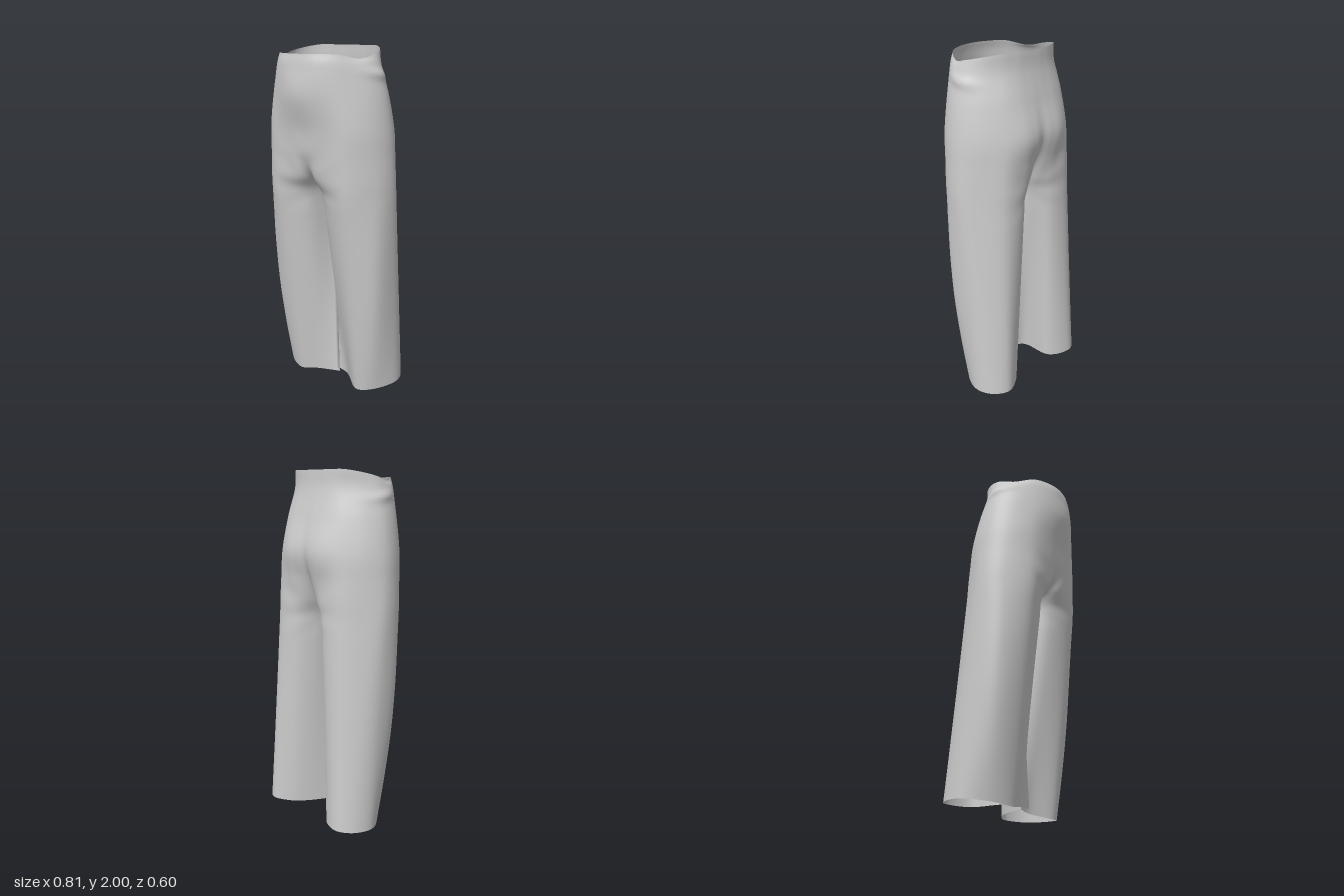
import * as THREE from 'three';
import { mergeGeometries, mergeVertices } from 'three/addons/utils/BufferGeometryUtils.js';

const AROUND = 72, DOWN = 110;

// Half sections, x outward and z forward, from the front seam round the hip to the back seam
const HEIGHTS = [2, 1.9, 1.75, 1.57, 1.42, 1.3, 1.2];
const SECTIONS = [
  [0, .28, .1, .262, .2, .2, .265, .1, .292, 0, .262, -.085, .195, -.153, .12, -.183, .06, -.193, 0, -.195],
  [0, .29, .11, .273, .21, .21, .29, .105, .315, 0, .275, -.085, .2, -.155, .13, -.188, .06, -.2, 0, -.203],
  [0, .3, .11, .28, .225, .217, .325, .11, .357, 0, .315, -.1, .225, -.187, .14, -.225, .06, -.235, 0, -.235],
  [0, .258, .11, .253, .25, .212, .352, .108, .386, -.01, .342, -.12, .238, -.222, .14, -.272, .06, -.278, 0, -.268],
  [0, .235, .1, .238, .25, .21, .363, .1, .397, -.02, .35, -.125, .245, -.228, .13, -.256, .05, -.248, 0, -.22],
  [0, .16, .07, .218, .245, .21, .369, .097, .404, -.025, .357, -.125, .25, -.232, .12, -.247, .04, -.21, 0, -.14],
  [0, -.03, .06, .155, .235, .207, .37, .095, .406, -.03, .36, -.13, .25, -.236, .12, -.24, .04, -.16, 0, -.03],
];
const HEM_LEFT = [.03, -.037, .11, -.028, .23, .055, .33, .01, .397, -.12, .37, -.23, .28, -.293, .17, -.245, .1, -.165, .03, -.037];
const HEM_RIGHT = [-.065, -.003, .08, .03, .2, .058, .32, 0, .398, -.12, .365, -.24, .27, -.298, .14, -.23, .11, -.04, -.065, -.003];
// Uneven edges of the waist and the hem
const WAIST_Y = [1.965, 1.965, 1.963, 1.943, 1.965, 1.985, 2, 2, 2, 2];
const HEM_Y = [.035, .02, 0, .012, .025, .03, .035, .035, .035, .035];

const toPoints = (flat, yAt) =>
  Array.from({ length: flat.length / 2 }, (_, i) => new THREE.Vector3(flat[2 * i], yAt(i), flat[2 * i + 1]));

// Smooth ring through a section; whole rows run straight over the seam, lower rows pinch there
function sampleRing(points, pinched) {
  const ghost = (end, next) => pinched
    ? end.clone().multiplyScalar(2).sub(next)
    : new THREE.Vector3(-next.x, next.y, next.z);
  const n = points.length;
  const curve = new THREE.CatmullRomCurve3(
    [ghost(points[0], points[1]), ...points, ghost(points[n - 1], points[n - 2])], false, 'catmullrom');
  return Array.from({ length: AROUND + 1 }, (_, i) => curve.getPoint((1 + (i / AROUND) * (n - 1)) / (n + 1)));
}

// Leg section between crotch and hem, fuller at its outer front corner
function legSection(crotch, hem, t) {
  const points = crotch.map((p, i) => p.clone().lerp(hem[i], t));
  const fullness = .02 * Math.sin(Math.PI * t);
  points[3].x += fullness;
  points[3].z += fullness;
  return points;
}

const bell = (d, width) => Math.exp(-((d / width) ** 2));

// Gathered cloth at the hips and faint creases fanning from the crotch
function addFolds(p, side) {
  if (p.x > .2) p.x += .014 * bell(p.y - 1.865 - .15 * (p.z - .03), .025) * bell(p.z - .02, .09);
  const angle = Math.atan2(p.y - 1.25, p.x + .05);
  const reach = Math.hypot(p.x, p.y - 1.3);
  const fade = bell(reach - .17, .09) * Math.min(1, Math.max(0, p.x / .06));
  if (p.z > .05) p.z += .001 * Math.sin(angle * 11 + side) * fade;
  else if (p.z < -.15) p.z -= .0015 * Math.sin(angle * 9 + side) * fade;
  return p;
}

// One half: open at the seam above the crotch, a closed tube below it
function buildHalf(side, hem) {
  const sections = SECTIONS.map((s, r) => toPoints(s, i => (r === 0 ? WAIST_Y[i] : HEIGHTS[r])));
  const crotch = sections[sections.length - 1];
  const hemPoints = toPoints(hem, i => HEM_Y[i]);
  for (const t of [.12, .3, .53, .77, 1]) sections.push(legSection(crotch, hemPoints, t));
  const rings = sections.map((s, r) => sampleRing(s, r > 3));

  const positions = [], index = [];
  for (let u = 0; u <= AROUND; u++) {
    const seamToHem = new THREE.CatmullRomCurve3(rings.map(r => r[u]), false, 'catmullrom');
    for (let v = 0; v <= DOWN; v++) {
      const p = addFolds(seamToHem.getPoint(v / DOWN), side);
      positions.push(p.x * side, p.y, p.z);
      if (u === AROUND || v === DOWN) continue;
      const a = u * (DOWN + 1) + v, b = a + 1, c = a + DOWN + 1, d = c + 1;
      if (side > 0) index.push(a, b, c, b, d, c);
      else index.push(a, c, b, b, c, d);
    }
  }
  const geometry = new THREE.BufferGeometry();
  geometry.setAttribute('position', new THREE.Float32BufferAttribute(positions, 3));
  geometry.setIndex(index);
  return geometry;
}

export function createModel() {
  const group = new THREE.Group();
  group.name = 'wideLegTrousers';
  // Join both halves along the seam so that the hips shade smoothly
  const geometry = mergeVertices(mergeGeometries([buildHalf(1, HEM_LEFT), buildHalf(-1, HEM_RIGHT)]), 1e-4);
  geometry.computeVertexNormals();
  const cloth = new THREE.MeshStandardMaterial({ color: 0xcccccc, side: THREE.DoubleSide });
  const trousers = new THREE.Mesh(geometry, cloth);
  trousers.name = 'trousers';
  group.add(trousers);
  return group;
}
